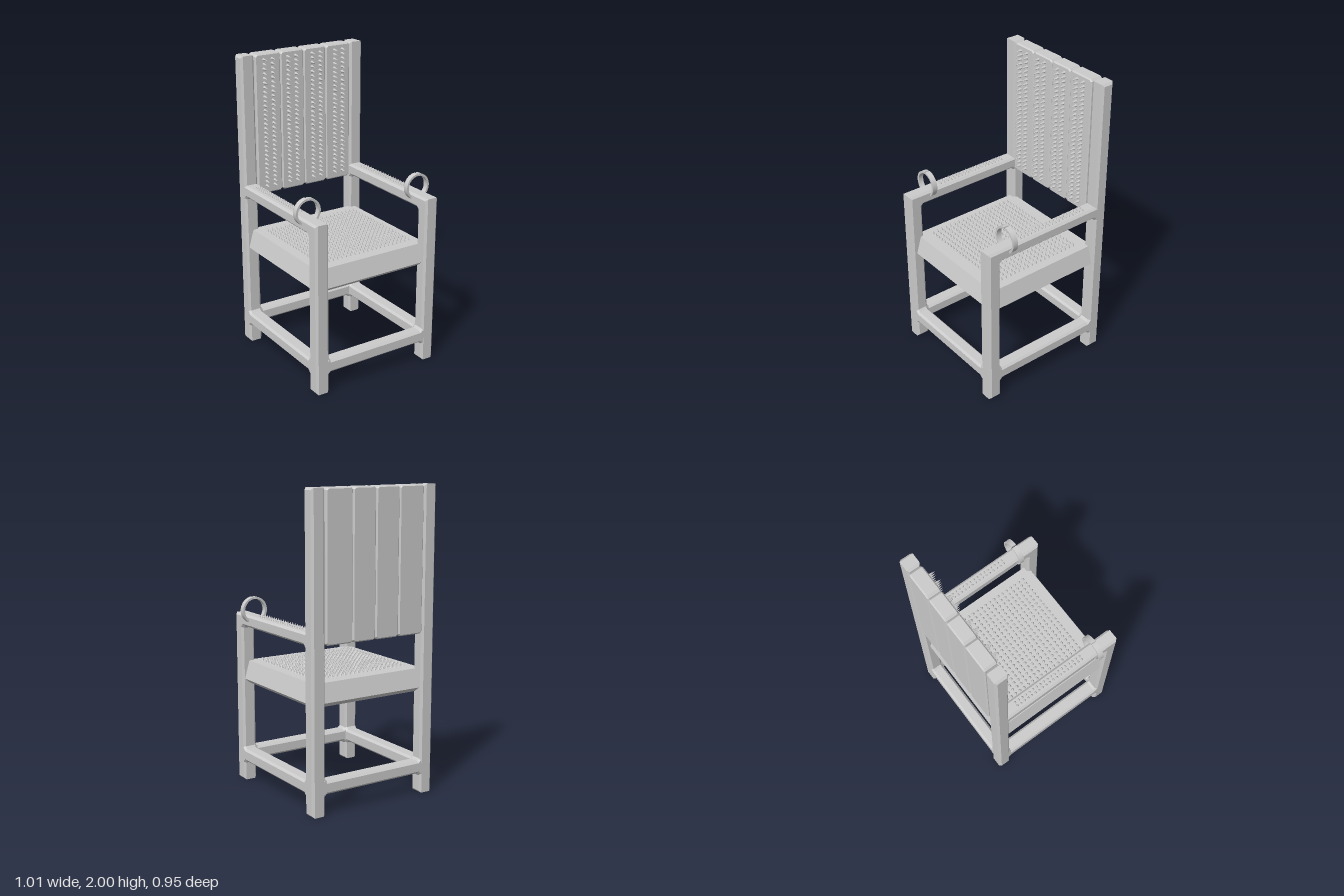
import * as THREE from 'three';
import { mergeGeometries } from 'three/addons/utils/BufferGeometryUtils.js';

const material = new THREE.MeshStandardMaterial({ color: 0xcccccc, flatShading: true });
const BEVEL = 0.014;

function add(parent, name, geometry) {
  const mesh = new THREE.Mesh(geometry, material);
  mesh.name = name;
  parent.add(mesh);
  return mesh;
}

const toPoints = (list) => list.map(([x, y]) => new THREE.Vector2(x, y));

// Flat outline with chamfered faces, centred on z = 0
function slab(outline, thickness, bevel = BEVEL, holes = []) {
  const shape = new THREE.Shape(toPoints(outline));
  for (const hole of holes) shape.holes.push(new THREE.Path(toPoints(hole)));
  const geometry = new THREE.ExtrudeGeometry(shape, {
    depth: thickness - 2 * bevel, bevelEnabled: true, bevelSegments: 1,
    bevelSize: bevel, bevelThickness: bevel, bevelOffset: -bevel, curveSegments: 24,
  });
  return geometry.translate(0, 0, bevel - thickness / 2);
}

// Rectangle with cut corners
function cutRect(x0, y0, x1, y1, c) {
  return [[x0 + c, y0], [x1 - c, y0], [x1, y0 + c], [x1, y1 - c],
    [x1 - c, y1], [x0 + c, y1], [x0, y1 - c], [x0, y0 + c]];
}

// Grid of cones pointing up; place(i, j) gives the base of each
function spikes(columns, rows, radius, height, place, forward = false) {
  const cone = new THREE.ConeGeometry(radius, height, 7).translate(0, height / 2, 0);
  if (forward) cone.rotateX(Math.PI / 2);
  const cones = [];
  for (let i = 0; i < columns; i++) {
    for (let j = 0; j < rows; j++) cones.push(cone.clone().translate(...place(i, j)));
  }
  return mergeGeometries(cones);
}

// Front leg, arm, lower rail and back post in one piece (x = depth, y = height)
function sideFrameGeometry() {
  const c = 0.015;
  const outline = [
    [-0.475, 0], [-0.385, 0], [-0.385, 0.135 - c], [-0.385 + c, 0.135],
    [0.385 - c, 0.135], [0.385, 0.135 - c], [0.385, 0], [0.475, 0],
    [0.475, 1.145], [-0.385, 1.145], [-0.385, 2], [-0.475, 2],
  ];
  const opening = cutRect(-0.385, 0.22, 0.385, 1.065, c);
  return slab(outline, 0.095, BEVEL, [opening]).rotateY(-Math.PI / 2);
}

// Half of a wrist band, facing +x
function bandHalf() {
  const shape = new THREE.Shape();
  const gap = 0.05;
  shape.absarc(0, 0, 0.088, -Math.PI / 2 + gap, Math.PI / 2 - gap, false);
  shape.absarc(0, 0, 0.074, Math.PI / 2 - gap, -Math.PI / 2 + gap, true);
  return new THREE.ExtrudeGeometry(shape, { depth: 0.035, bevelEnabled: false, curveSegments: 18 })
    .translate(0, 0, -0.0175);
}

export function createModel() {
  const chair = new THREE.Group();
  chair.name = 'spikedChair';

  // Sides, arm spikes and wrist bands
  for (const [side, s] of [['left', 1], ['right', -1]]) {
    add(chair, side + 'SideFrame', sideFrameGeometry()).position.x = s * 0.413;
    add(chair, side + 'ArmSpikes', spikes(2, 19, 0.009, 0.022,
      (i, j) => [s * (0.4 + i * 0.026), 1.144, -0.298 + j * 0.0282]));

    const band = new THREE.Group();
    band.name = side + 'WristBand';
    band.position.set(s * 0.415, 1.178, 0.305);
    add(band, 'outerHalf', bandHalf());
    add(band, 'innerHalf', bandHalf()).rotation.y = Math.PI;
    chair.add(band);
  }

  // Lower rails across the front and back, flared where they meet the legs
  const railOutline = [
    [-0.40, 0.12], [-0.365, 0.12], [-0.35, 0.135], [0.35, 0.135], [0.365, 0.12], [0.40, 0.12],
    [0.40, 0.235], [0.365, 0.235], [0.35, 0.22], [-0.35, 0.22], [-0.365, 0.235], [-0.40, 0.235],
  ];
  add(chair, 'frontRail', slab(railOutline, 0.088)).position.z = 0.43;
  add(chair, 'backRail', slab(railOutline, 0.088)).position.z = -0.43;

  // Seat block with sloping sides and a chamfered underside
  const r = Math.SQRT2;
  const seatProfile = toPoints([[0, 0.675], [0.41 * r, 0.675], [0.445 * r, 0.705], [0.41 * r, 0.825], [0, 0.825]]);
  add(chair, 'seat', new THREE.LatheGeometry(seatProfile, 4, Math.PI / 4));
  add(chair, 'seatSpikes', spikes(22, 19, 0.0115, 0.026,
    (i, j) => [-0.345 + i * 0.0327, 0.824, -0.308 + j * 0.0352]));

  // Back boards, each with two columns of spikes
  const edges = [-0.362, -0.175, 0, 0.17, 0.362];
  const spikeStarts = [-0.3, -0.125, 0.06, 0.235];
  for (let k = 0; k < 4; k++) {
    const board = cutRect(edges[k] + 0.001, 1.065, edges[k + 1] - 0.001, 2, 0.014);
    add(chair, 'backBoard' + (k + 1), slab(board, 0.093, 0.008)).position.z = -0.431;
    add(chair, 'backSpikes' + (k + 1), spikes(2, 29, 0.01, 0.045,
      (i, j) => [spikeStarts[k] + i * 0.061, 1.118 + j * 0.0302, -0.386], true));
  }
  return chair;
}
